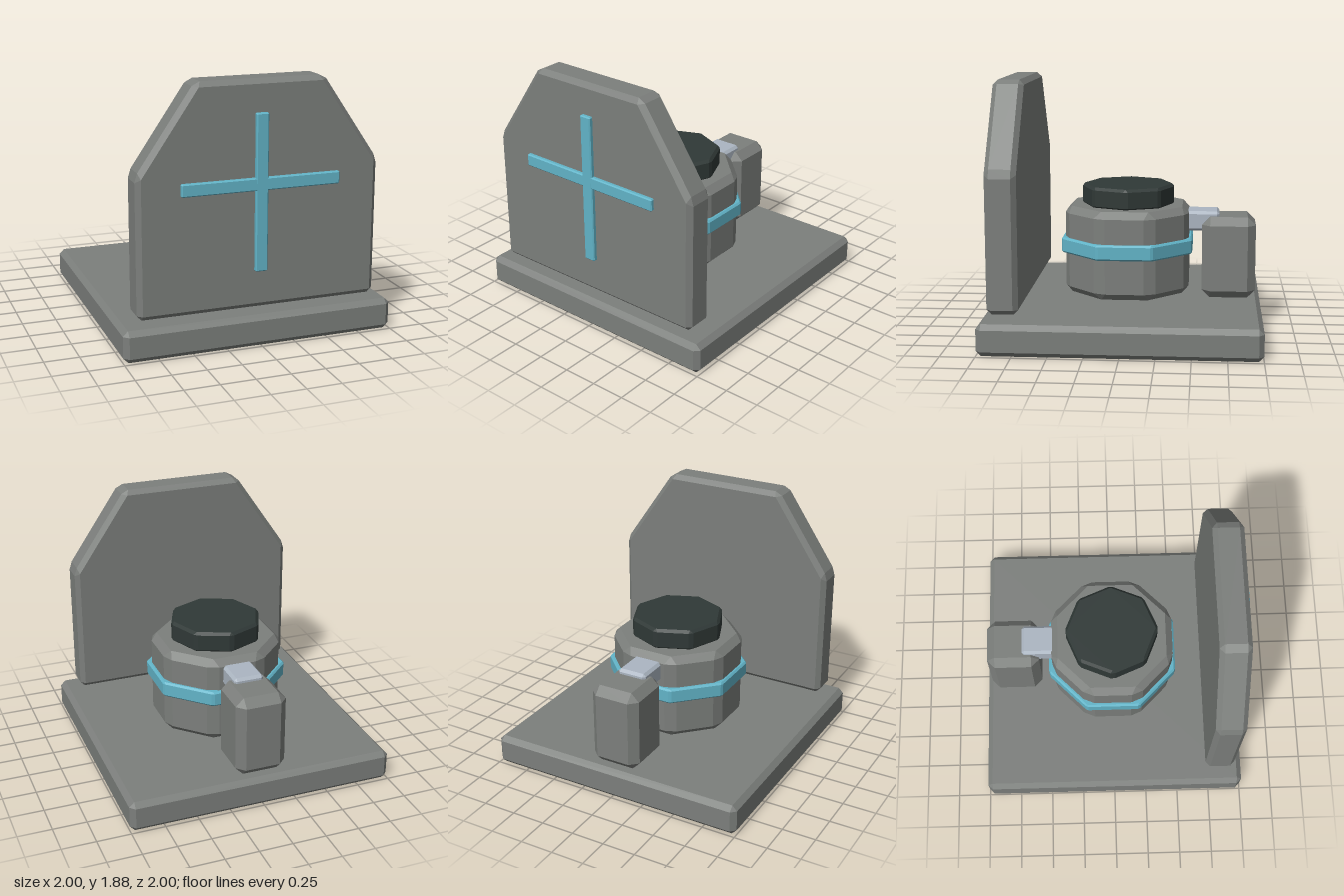
import * as THREE from 'three';
import { ConvexGeometry } from 'three/addons/geometries/ConvexGeometry.js';

const makeMaterial = (name, color) => {
  const m = new THREE.MeshStandardMaterial({ color });
  m.name = name;
  return m;
};

// Convex prism along z with every edge chamfered by c
function chamferPrism(outline, depth, c) {
  const pts = [];
  const n = outline.length;
  const h = depth / 2;
  outline.forEach(([x, y], i) => {
    const p = new THREE.Vector2(x, y);
    const a = new THREE.Vector2(...outline[(i + n - 1) % n]).sub(p).normalize();
    const b = new THREE.Vector2(...outline[(i + 1) % n]).sub(p).normalize();
    const cap = a.clone().add(b).multiplyScalar(c / Math.abs(a.cross(b))).add(p);
    for (const s of [-1, 1]) {
      pts.push(new THREE.Vector3(cap.x, cap.y, s * h));
      for (const d of [a, b]) {
        pts.push(new THREE.Vector3(p.x + d.x * c, p.y + d.y * c, s * (h - c)));
      }
    }
  });
  return new ConvexGeometry(pts);
}

// Chamfered box given by its minimum and maximum corners
function chamferBox([x0, y0, z0], [x1, y1, z1], c) {
  return chamferPrism([[x0, y0], [x1, y0], [x1, y1], [x0, y1]], z1 - z0, c)
    .translate(0, 0, (z0 + z1) / 2);
}

// Upright chamfered octagon between two heights
function octagon(radius, y0, y1, c, turn) {
  const outline = [];
  for (let i = 0; i < 8; i++) {
    const a = (i * Math.PI) / 4 + turn;
    outline.push([radius * Math.cos(a), radius * Math.sin(a)]);
  }
  return chamferPrism(outline, y1 - y0, c)
    .rotateX(-Math.PI / 2)
    .translate(0, (y0 + y1) / 2, 0);
}

export function createModel() {
  const grey = makeMaterial('stone grey', 0x7c7f7c);
  const blue = makeMaterial('bright blue', 0x62b4c8);
  const dark = makeMaterial('dark green grey', 0x303937);
  const pale = makeMaterial('pale steel', 0xacb6c2);

  const group = new THREE.Group();
  group.name = 'shieldedDevice';
  const add = (name, geometry, material) => {
    const mesh = new THREE.Mesh(geometry, material);
    mesh.name = name;
    group.add(mesh);
  };

  // Base plate
  add('basePlate', chamferBox([-1, 0, -1], [1, 0.23, 1], 0.037), grey);

  // Front shield with sloped shoulders
  const shield = [
    [-0.885, 0.27], [0.885, 0.27], [0.885, 1.27],
    [0.465, 1.885], [-0.465, 1.885], [-0.885, 1.27],
  ];
  add('frontShield', chamferPrism(shield, 0.225, 0.035).translate(0, 0, 0.828), grey);

  // Cross bars on the shield
  add('verticalBar', chamferBox([-0.045, 0.543, 0.93], [0.045, 1.657, 0.97], 0.008), blue);
  add('horizontalBar', chamferBox([-0.578, 1.12, 0.93], [0.578, 1.21, 0.969], 0.008), blue);

  // Octagonal drum, band and cap
  const flat = Math.PI / 8;
  add('drum', octagon(0.5, 0.275, 0.93, 0.05, flat), grey);
  add('drumBand', octagon(0.528, 0.58, 0.695, 0.013, flat), blue);
  add('drumCap', octagon(0.352, 0.92, 1.08, 0.02, 0), dark);

  // Rear post and the arm that joins it to the drum
  add('rearPost', chamferBox([-0.19, 0.235, -0.96], [0.19, 0.85, -0.56], 0.06), grey);
  add('connectingArm', chamferBox([-0.113, 0.737, -0.69], [0.113, 0.886, -0.4], 0.02), pale);

  return group;
}
